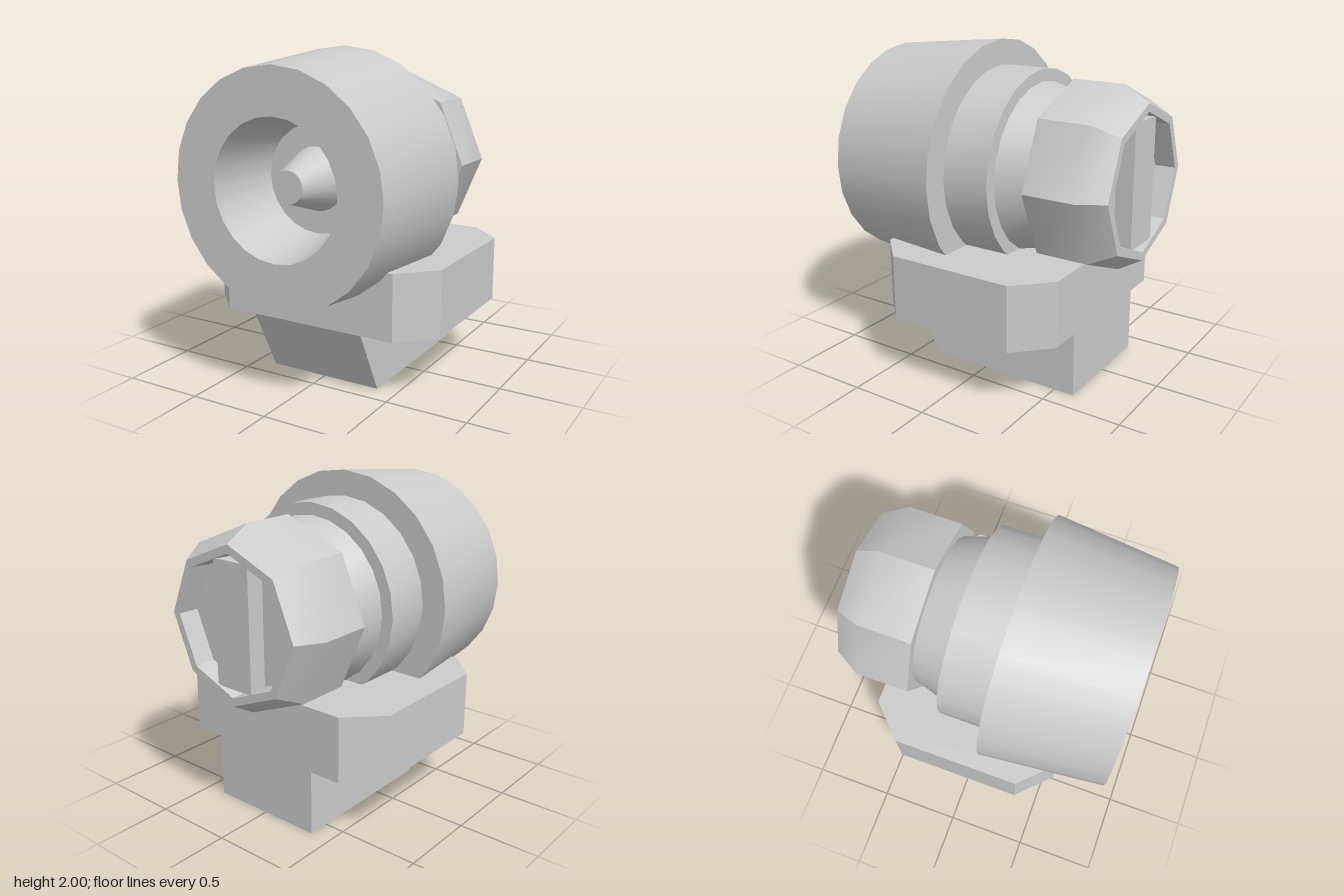
import * as THREE from 'three';
import { toCreasedNormals } from 'three/addons/utils/BufferGeometryUtils.js';

const AXIS_Y = 1.25;

export function createModel() {
  const model = new THREE.Group();
  const material = new THREE.MeshStandardMaterial({ color: 0xcccccc });

  const add = (name, geometry) => {
    const mesh = new THREE.Mesh(toCreasedNormals(geometry, 0.5), material);
    mesh.name = name;
    model.add(mesh);
    return mesh;
  };

  // Turns a [radius, z] profile, listed back to front, about the barrel axis
  const turned = (name, profile, sides) => {
    const points = profile.map(([r, z]) => new THREE.Vector2(r, z));
    const geometry = new THREE.LatheGeometry(points, sides).rotateX(Math.PI / 2);
    add(name, geometry).position.y = AXIS_Y;
  };

  // Extrudes an outline without bevels
  const extruded = (outline, depth) => new THREE.ExtrudeGeometry(
    new THREE.Shape(outline.map(([x, y]) => new THREE.Vector2(x, y))),
    { depth, bevelEnabled: false }
  );

  // Tapered barrel with a blind bore
  turned('barrel', [
    [0, 0.12], [0.75, 0.12], [0.675, 0.87], [0.405, 0.87], [0.325, 0.44], [0, 0.44],
  ], 24);

  // Blunt cone standing on the floor of the bore
  turned('borePin', [[0.19, 0.44], [0.095, 0.73], [0, 0.73]], 24);

  // Collar and tapered neck behind the barrel
  turned('collar', [[0, -0.18], [0.595, -0.18], [0.595, 0.12], [0, 0.12]], 24);
  turned('neck', [[0, -0.385], [0.46, -0.385], [0.52, -0.18], [0, -0.18]], 24);

  // Eight-sided end cap with a chamfer and a recessed back
  turned('endCap', [
    [0, -0.74], [0.405, -0.74], [0.415, -0.865], [0.465, -0.865],
    [0.555, -0.71], [0.555, -0.385], [0, -0.385],
  ], 8);

  // Upright bar across the recess
  add('recessBar', new THREE.BoxGeometry(0.26, 0.74, 0.11)).position.set(0, AXIS_Y, -0.795);

  // Base plate with clipped corners, drawn as x and -z
  const plate = extruded([
    [-0.57, -0.57], [0.57, -0.57], [0.77, -0.37], [0.77, 0.43],
    [0.57, 0.63], [-0.57, 0.63], [-0.77, 0.43], [-0.77, -0.37],
  ], 0.4).rotateX(-Math.PI / 2);
  add('basePlate', plate).position.y = 0.4;

  // Foot with a sloping front, drawn as -z and y
  const foot = extruded([[-0.37, 0], [0.63, 0], [0.63, 0.4], [-0.57, 0.4]], 0.74)
    .translate(0, 0, -0.37).rotateY(Math.PI / 2);
  add('foot', foot);

  return model;
}
